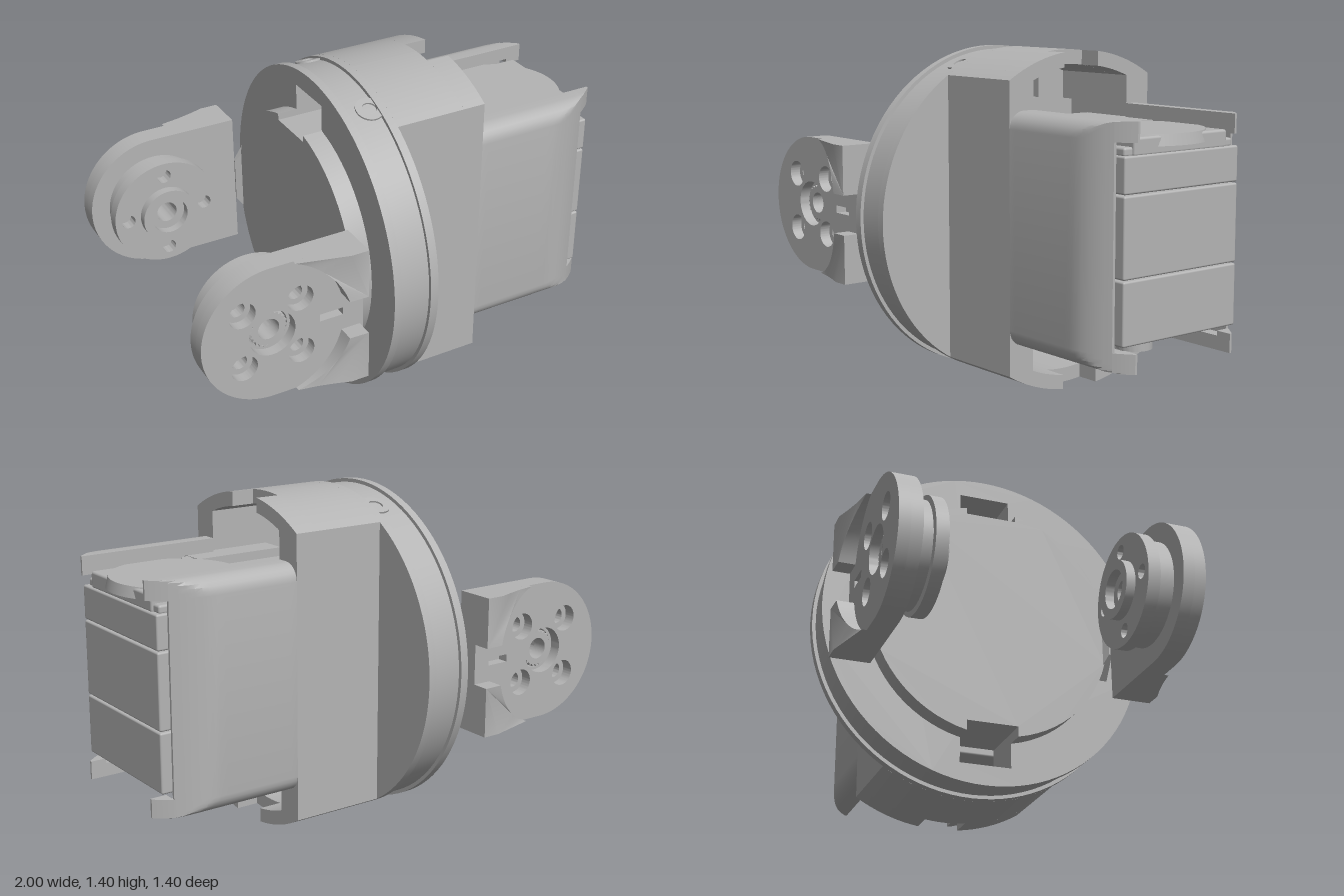
import * as THREE from 'three';
import { toCreasedNormals } from 'three/addons/utils/BufferGeometryUtils.js';
import { RoundedBoxGeometry } from 'three/addons/geometries/RoundedBoxGeometry.js';

const CY = 0.7; // height of the main axis

export function createModel() {
  const model = new THREE.Group();
  const grey = new THREE.MeshStandardMaterial({ color: 0xb4b4b4 });
  grey.name = 'grey plastic';

  const add = (parent, name, geo) => {
    const mesh = new THREE.Mesh(geo, grey);
    mesh.name = name;
    parent.add(mesh);
    return mesh;
  };
  const poly = pts => new THREE.Shape(pts.map(p => new THREE.Vector2(p[0], p[1])));
  const rect = (x0, x1, y0, y1) => poly([[x0, y0], [x1, y0], [x1, y1], [x0, y1]]);
  const circle = (x, y, r) => new THREE.Shape().absarc(x, y, r, 0, Math.PI * 2);
  const arc = (r, a, b, n = 12) => Array.from({ length: n + 1 }, (_, i) => {
    const t = a + (b - a) * i / n;
    return [r * Math.cos(t), r * Math.sin(t)];
  });

  // Extrude an outline in x, y between two z values
  const slabZ = (shape, z0, z1, holes = []) => {
    shape.holes.push(...holes);
    const geo = new THREE.ExtrudeGeometry(shape, { depth: z1 - z0, bevelEnabled: false, curveSegments: 32 });
    return geo.translate(0, 0, z0);
  };
  // Extrude an outline in z, y (about the main axis) between two x values
  const slabX = (shape, x0, x1, holes = [], steps = 1) => {
    shape.holes.push(...holes);
    const geo = new THREE.ExtrudeGeometry(shape, { depth: x1 - x0, bevelEnabled: false, curveSegments: 48, steps });
    return geo.rotateY(Math.PI / 2).translate(x0, CY, 0);
  };
  const crease = geo => toCreasedNormals(geo, 0.5);
  const box = (name, x0, x1, y0, y1, z0, z1, r = 0) => {
    const s = [x1 - x0, y1 - y0, z1 - z0];
    const geo = r ? new RoundedBoxGeometry(...s, 3, r) : new THREE.BoxGeometry(...s);
    return add(model, name, geo.translate((x0 + x1) / 2, (y0 + y1) / 2, (z0 + z1) / 2));
  };

  // Grooved round flange with a cable window above and below
  const windows = () => [rect(-0.11, 0.11, 0.48, 0.62), rect(-0.11, 0.11, -0.615, -0.465)];
  for (const [name, r, x0, x1] of [
    ['rearFlangeRim', 0.7, -0.215, -0.18],
    ['flangeGroove', 0.685, -0.18, -0.05],
    ['frontFlangeRim', 0.7, -0.05, -0.015],
  ]) add(model, name, crease(slabX(circle(0, 0, r), x0, x1, windows())));

  // Raised rear disc, notched above and below
  const edge = Math.acos(0.11 / 0.52);
  const discSide = arc(0.52, -edge, edge, 32);
  add(model, 'rearDisc', crease(slabX(poly([
    ...discSide, [0.11, 0.48], [-0.11, 0.48],
    ...discSide.map(([z, y]) => [-z, -y]), [-0.11, -0.465], [0.11, -0.465],
  ]), -0.3, -0.215)));

  // Flared lips at both sides of the rear disc
  for (const s of [1, -1]) {
    const lip = slabX(poly([[0.47, -0.19], [0.528, -0.19], [0.528, 0.19], [0.47, 0.19]].map(([z, y]) => [z * s, y])),
      -0.325, -0.26);
    const p = lip.attributes.position;
    for (let i = 0; i < p.count; i++) {
      if (p.getX(i) < -0.3) {
        p.setY(i, CY + (p.getY(i) - CY) * 0.5);
        if (Math.abs(p.getZ(i)) < 0.5) p.setZ(i, 0.515 * Math.sign(p.getZ(i)));
      }
    }
    lip.computeVertexNormals();
    add(model, 'discLip', lip);
  }

  // Screw seats in the groove
  for (const z of [-0.255, 0.255]) {
    const seat = add(model, 'screwSeat', slabZ(circle(0, 0, 0.058), 0, 0.008, [circle(0, 0, 0.03)]));
    seat.geometry.rotateX(-Math.PI / 2);
    seat.position.set(-0.08, CY + 0.634, z);
    seat.rotation.x = Math.asin(z / 0.685);
  }

  // Hollow body: round above and below, flat at the sides; the front part has a small gap
  const bodyHalf = (gap, s) => {
    const outer = arc(0.7, Math.acos(gap / 0.7), Math.acos(0.37 / 0.7));
    const inner = arc(0.64, Math.acos(0.25 / 0.64), Math.acos(gap / 0.64));
    const flip = pts => pts.map(([z, y]) => [z, -y]).reverse();
    return poly([
      ...outer, ...flip(outer), ...flip(inner),
      [0.25, -0.47], [0.3, -0.47], [0.3, 0.47], [0.25, 0.47], ...inner,
    ].map(([z, y]) => [z * s, y]));
  };
  for (const s of [1, -1]) {
    add(model, 'bodyShell', crease(slabX(bodyHalf(0, s), -0.015, 0.29)));
    add(model, 'bodyFrontShell', crease(slabX(bodyHalf(0.09, s), 0.29, 0.39)));
  }

  // Side guards: C-shaped walls that curve inwards at their ends
  const taper = geo => {
    const p = geo.attributes.position;
    for (let i = 0; i < p.count; i++) {
      const t = Math.max(0, (p.getX(i) - 0.75) / 0.25);
      const limit = 0.37 - 0.11 * t * t;
      if (Math.abs(p.getZ(i)) > limit) p.setZ(i, Math.sign(p.getZ(i)) * limit);
    }
    geo.computeVertexNormals();
    return crease(geo);
  };
  const corner = arc(0.07, Math.PI / 2, 0, 6).map(([z, y]) => [z + 0.3, y + 0.403]);
  for (const s of [1, -1]) {
    const section = poly([
      [0.25, 0.473], ...corner, ...corner.map(([z, y]) => [z, -y]).reverse(), [0.25, -0.473],
      [0.25, -0.415], [0.302, -0.415], [0.302, 0.415], [0.25, 0.415],
    ].map(([z, y]) => [z * s, y]));
    add(model, 'sideGuard', taper(slabX(section, 0.39, 0.93, [], 18)));
    for (const v of [1, -1]) {
      const tip = poly([[0.25, 0.473], ...corner, [0.37, 0.39], [0.25, 0.39]]
        .map(([z, y]) => [z * s, Math.max(y, 0.395) * v]));
      add(model, 'guardTip', taper(slabX(tip, 0.93, 1, [], 5)));
    }
  }

  // Servo motor: three case sections with fine seams
  for (const [y0, y1] of [[0.33, 0.579], [0.584, 0.898], [0.903, 1.045]])
    box('servoCase', 0.08, 0.975, y0, y1, -0.3, 0.3, 0.008);
  box('servoTopCover', 0.08, 0.955, 1.04, 1.075, -0.285, 0.285, 0.01);
  const drum = new THREE.CylinderGeometry(0.265, 0.275, 0.045, 64).translate(0.72, 1.0925, 0);
  add(model, 'servoTopDrum', drum);
  box('servoTopBridge', 0.72, 0.965, 1.04, 1.11, -0.245, 0.245, 0.01);
  for (const s of [1, -1]) {
    const z0 = s > 0 ? 0.17 : -0.29, z1 = z0 + 0.12;
    box('servoTopEar', 0.1, 0.51, 1.07, 1.112, z0, z1);
    box('servoBottomEar', 0.39, 0.56, 0.3, 0.335, z0, z1);
    add(model, 'servoScrew', new THREE.CylinderGeometry(0.026, 0.026, 0.05, 20).translate(0.525, 1.085, 0.235 * s));
  }
  box('servoBottomCover', 0.1, 0.5, 0.25, 0.335, -0.22, 0.22, 0.01);
  const boss = slabZ(circle(0, 0, 0.072), 0, 0.1, [circle(0, 0, 0.035)]);
  add(model, 'servoBoss', crease(boss).rotateX(-Math.PI / 2).translate(0.72, 0.235, 0));
  box('servoBossBase', 0.6, 0.84, 0.315, 0.335, -0.12, 0.12);

  // Pivot arm with counterbored holes, raised pads and a stepped horn
  const makeArm = name => {
    const arm = new THREE.Group();
    arm.name = name;
    const cx = -0.705;
    const ring = (r, dist, turn) => [0, 1, 2, 3].map(i => {
      const a = turn + i * Math.PI / 2;
      return circle(cx + dist * Math.cos(a), dist * Math.sin(a), r);
    });
    const outline = () => new THREE.Shape().moveTo(-0.325, -0.295).lineTo(-0.325, 0.295).lineTo(cx, 0.295)
      .absarc(cx, 0, 0.295, Math.PI / 2, Math.PI * 1.5);
    const q = Math.PI / 4;
    add(arm, 'armInnerPlate', crease(slabZ(outline(), 0.522, 0.57, [circle(cx, 0, 0.085), ...ring(0.032, 0.172, q)])));
    add(arm, 'armOuterPlate', crease(slabZ(outline(), 0.57, 0.617,
      [circle(cx, 0, 0.098), ...ring(0.056, 0.172, q), rect(-0.5, -0.4, -0.016, 0.016)])));

    // Pads rise smoothly towards the body
    const height = x => 0.635 + 0.055 * Math.min(1, Math.max(0, (x + 0.62) / 0.22)) ** 1.4;
    for (const v of [1, -1]) {
      const curve = arc(0.31, 1.258, 0.278, 12).map(([x, y]) => [x + cx, y]);
      const pad = slabZ(poly([...curve, [-0.325, 0.085], [-0.325, 0.295], [-0.4, 0.295], [-0.46, 0.295], [-0.53, 0.295]]
        .map(([x, y]) => [x, y * v])), 0.61, 0.63);
      const p = pad.attributes.position;
      for (let i = 0; i < p.count; i++) if (p.getZ(i) > 0.62) p.setZ(i, height(p.getX(i)));
      pad.computeVertexNormals();
      add(arm, 'armPad', crease(pad));
    }

    add(arm, 'hornNeck', crease(slabZ(circle(cx, 0, 0.215), 0.46, 0.522, [circle(cx, 0, 0.045)])));
    add(arm, 'hornDisc', crease(slabZ(circle(cx, 0, 0.235), 0.403, 0.455, [circle(cx, 0, 0.045), ...ring(0.03, 0.175, 0)])));
    add(arm, 'hornCore', crease(slabZ(circle(cx, 0, 0.2), 0.454, 0.461, [circle(cx, 0, 0.045)])));
    add(arm, 'hornHub', crease(slabZ(circle(cx, 0, 0.12), 0.365, 0.403, [circle(cx, 0, 0.08)])));

    // Toothed collar around the centre hole
    const teeth = Array.from({ length: 48 }, (_, i) => {
      const a = i * Math.PI / 24, r = i % 2 ? 0.07 : 0.08;
      return [cx + r * Math.cos(a), r * Math.sin(a)];
    });
    add(arm, 'splineCollar', slabZ(poly(teeth), 0.52, 0.585, [circle(cx, 0, 0.045)]));
    arm.position.y = CY + 0.003;
    model.add(arm);
    return arm;
  };
  makeArm('frontArm');
  makeArm('backArm').rotation.x = Math.PI;

  return model;
}
